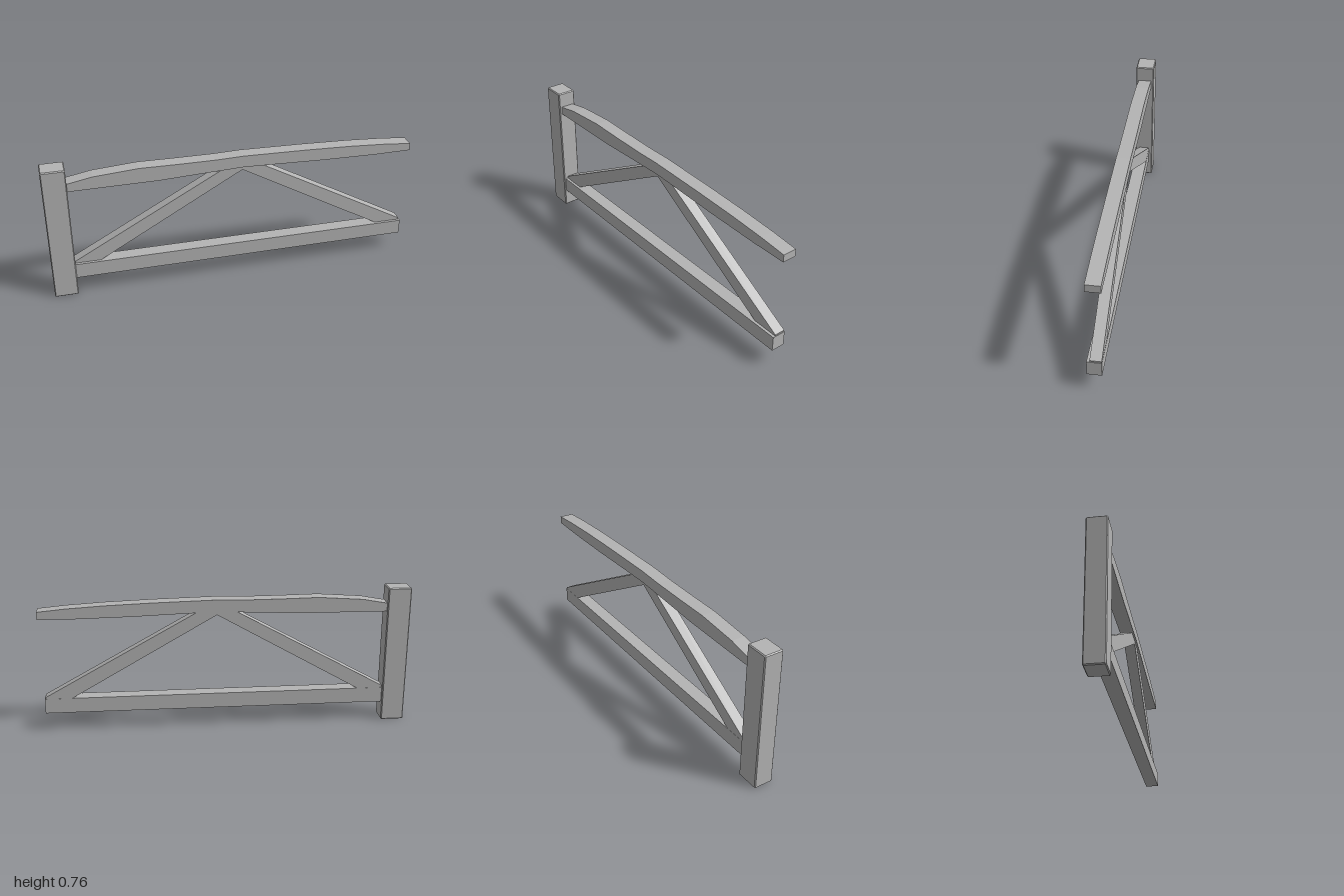
import * as THREE from 'three';

const grey = new THREE.MeshStandardMaterial({ color: 0xb4b4b4 });
grey.name = 'grey timber';

// Extrudes a side outline from z0 to z1, with an optional chamfer inside those limits
function timber(name, points, z0, z1, bevel = 0) {
  const shape = new THREE.Shape(points.map(([x, y]) => new THREE.Vector2(x, y)));
  const geometry = new THREE.ExtrudeGeometry(shape, {
    depth: z1 - z0 - 2 * bevel,
    bevelEnabled: bevel > 0,
    bevelThickness: bevel,
    bevelSize: bevel,
    bevelOffset: -bevel,
    bevelSegments: 1,
  });
  geometry.translate(0, 0, z0 + bevel);
  const mesh = new THREE.Mesh(geometry, grey);
  mesh.name = name;
  return mesh;
}

export function createModel() {
  const model = new THREE.Group();
  model.name = 'timberTruss';

  // Upright post with chamfered edges
  const c = 0.005, L = -1, R = -0.873, H = 0.765;
  model.add(timber('post', [
    [L + c, 0], [R - c, 0], [R, c], [R, H - c],
    [R - c, H], [L + c, H], [L, H - c], [L, c],
  ], -0.053, 0.053, c));

  // Straight lower beam
  model.add(timber('lowerBeam', [
    [-0.875, 0.102], [0.99, 0.1], [0.99, 0.183], [-0.875, 0.187],
  ], -0.032, 0.043));

  // Gently bowed upper beam with tapering ends
  model.add(timber('upperBeam', [
    [-0.875, 0.634], [-0.4, 0.636], [-0.15, 0.647], [0.05, 0.655], [0.22, 0.65],
    [0.5, 0.64], [0.8, 0.635], [1, 0.637],
    [1, 0.678], [0.85, 0.692], [0.65, 0.704], [0.4, 0.713], [0.05, 0.721],
    [-0.1, 0.717], [-0.3, 0.718], [-0.5, 0.721], [-0.74, 0.704], [-0.875, 0.679],
  ], -0.038, 0.038));

  // Diagonal braces meeting beneath the upper beam
  model.add(timber('leftBrace', [
    [-0.875, 0.183], [-0.74, 0.183], [0.05, 0.636], [0.05, 0.658],
    [-0.05, 0.655], [-0.875, 0.197],
  ], -0.031, 0.028));
  model.add(timber('rightBrace', [
    [0.05, 0.636], [0.845, 0.181], [0.987, 0.181], [0.987, 0.191],
    [0.15, 0.657], [0.05, 0.658],
  ], -0.031, 0.028));

  return model;
}
